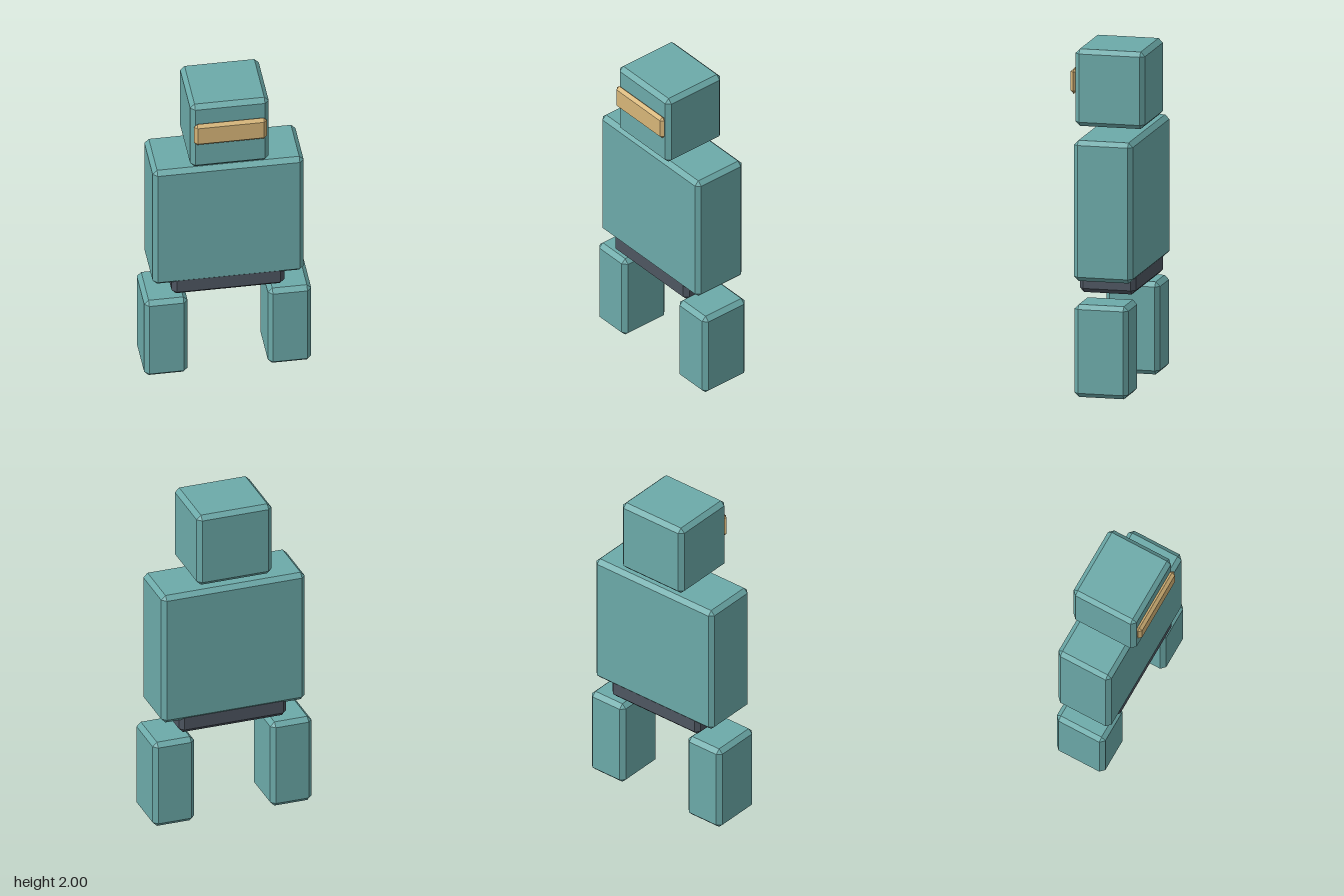
import * as THREE from 'three';
import { ConvexGeometry } from 'three/addons/geometries/ConvexGeometry.js';

const mat = (name, color) => {
  const m = new THREE.MeshStandardMaterial({ color });
  m.name = name;
  return m;
};

// Box with flat 45-degree chamfers, given by its min/max on each axis
function chamferBox(name, [x0, x1], [y0, y1], [z0, z1], c, material) {
  const half = [(x1 - x0) / 2, (y1 - y0) / 2, (z1 - z0) / 2];
  const points = [];
  for (const sx of [-1, 1]) for (const sy of [-1, 1]) for (const sz of [-1, 1]) {
    // each corner becomes three points, one on each adjoining face
    for (let face = 0; face < 3; face++) {
      const h = half.map((v, axis) => (axis === face ? v : v - c));
      points.push(new THREE.Vector3(sx * h[0], sy * h[1], sz * h[2]));
    }
  }
  const mesh = new THREE.Mesh(new ConvexGeometry(points), material);
  mesh.name = name;
  mesh.position.set((x0 + x1) / 2, (y0 + y1) / 2, (z0 + z1) / 2);
  return mesh;
}

export function createModel() {
  const model = new THREE.Group();
  model.name = 'blockRobot';
  const teal = mat('teal', 0x6caaa9);
  const dark = mat('darkGrey', 0x4e5661);
  const gold = mat('gold', 0xd6b578);
  const bevel = 0.026;

  // Head and visor
  model.add(chamferBox('head', [-0.23, 0.23], [1.545, 2], [-0.225, 0.19], bevel, teal));
  model.add(chamferBox('visor', [-0.213, 0.213], [1.73, 1.88], [0.184, 0.222], 0.0185, gold));

  // Torso and hips
  model.add(chamferBox('torso', [-0.442, 0.442], [0.675, 1.505], [-0.208, 0.143], bevel, teal));
  model.add(chamferBox('hips', [-0.33, 0.33], [0.587, 0.74], [-0.198, 0.138], bevel, dark));

  // Legs
  model.add(chamferBox('leftLeg', [0.235, 0.489], [0, 0.547], [-0.193, 0.128], bevel, teal));
  model.add(chamferBox('rightLeg', [-0.489, -0.235], [0, 0.547], [-0.193, 0.128], bevel, teal));

  return model;
}
